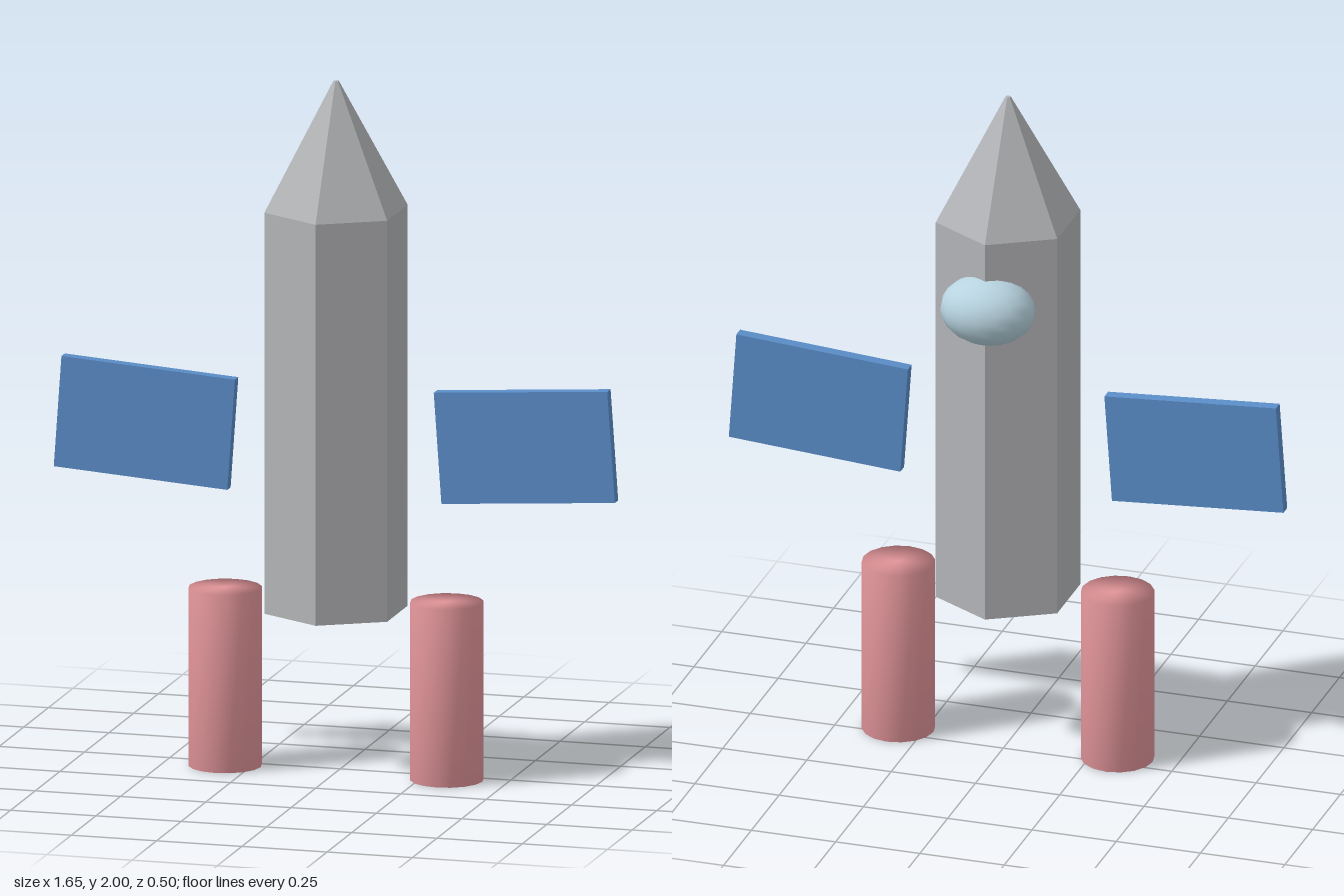
import * as THREE from 'three';
import { mergeVertices } from 'three/addons/utils/BufferGeometryUtils.js';

const AXIS_Z = 0.043;

function material(name, color, flatShading = false) {
  const m = new THREE.MeshStandardMaterial({ color });
  m.name = name;
  m.flatShading = flatShading;
  return m;
}

// Weld the corners so the shading runs smoothly over cap rims
function weld(geometry) {
  geometry.deleteAttribute('normal');
  geometry.deleteAttribute('uv');
  const welded = mergeVertices(geometry, 1e-4);
  welded.computeVertexNormals();
  return welded;
}

export function createModel() {
  const group = new THREE.Group();
  group.name = 'rocket';
  const grey = material('hull grey', 0xb4b5b8, true);
  const blue = material('panel blue', 0x5a8dc8, true);
  const red = material('booster pink', 0xe2959a);
  const pale = material('canopy pale blue', 0xb8d4e0);

  const add = (name, geometry, mat, x, y, z) => {
    const mesh = new THREE.Mesh(geometry, mat);
    mesh.name = name;
    mesh.position.set(x, y, z);
    group.add(mesh);
    return mesh;
  };

  // Six-sided hull and nose, with a corner facing the front
  add('hull', new THREE.CylinderGeometry(0.208, 0.208, 1.16, 6), grey, 0, 1.05, AXIS_Z);
  add('noseCone', new THREE.CylinderGeometry(0.008, 0.208, 0.37, 6), grey, 0, 1.815, AXIS_Z);

  // Rounded canopy on the back corner
  const canopy = add('canopy', new THREE.SphereGeometry(1, 16, 12), pale, 0, 1.42, -0.14);
  canopy.scale.set(0.137, 0.1, 0.11);

  // Boosters and tilted panels, one pair on each side
  const boosterGeometry = weld(new THREE.CylinderGeometry(0.104, 0.104, 0.515, 16));
  const panelGeometry = new THREE.BoxGeometry(0.51, 0.321, 0.034);
  for (const side of [1, -1]) {
    const label = side > 0 ? 'left' : 'right';
    add(label + 'Booster', boosterGeometry, red, side * 0.325, 0.2575, AXIS_Z);
    const panel = add(label + 'Panel', panelGeometry, blue, side * 0.557, 0.978, AXIS_Z);
    panel.rotation.z = side * 0.07;
  }
  return group;
}
